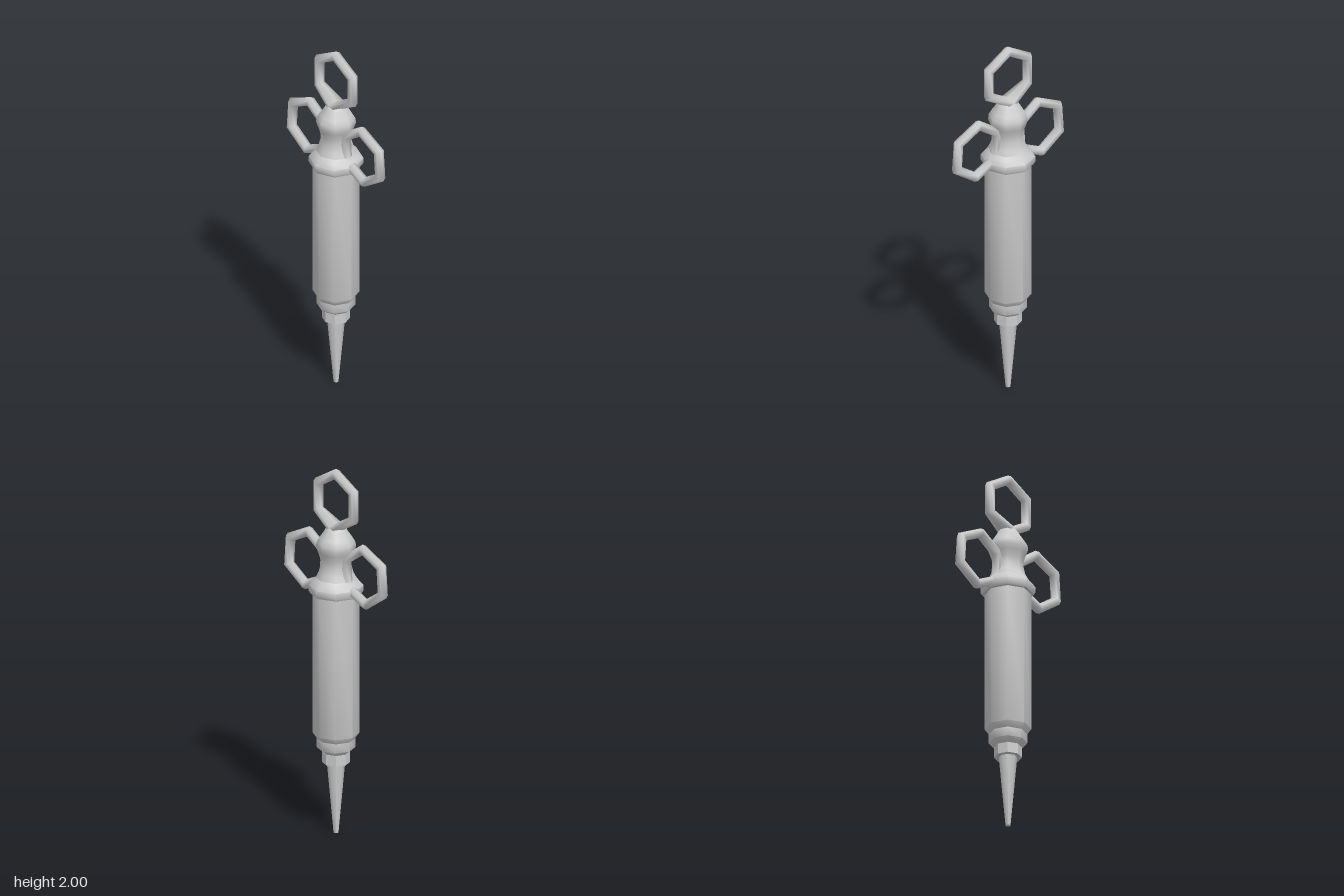
import * as THREE from 'three';
import { toCreasedNormals } from 'three/addons/utils/BufferGeometryUtils.js';

const material = new THREE.MeshStandardMaterial({ color: 0xcccccc });

export function createModel() {
  const group = new THREE.Group();

  const add = (name, geometry) => {
    const mesh = new THREE.Mesh(geometry, material);
    mesh.name = name;
    group.add(mesh);
    return mesh;
  };

  // Eight-sided turned part from [radius, height] pairs, bottom to top
  const turned = (name, profile, crease = 0.9) => {
    const points = profile.map(([r, y]) => new THREE.Vector2(r, y));
    return add(name, toCreasedNormals(new THREE.LatheGeometry(points, 8), crease));
  };

  // Hexagonal finger ring with a corner at top and bottom
  const ringGeometry = () => new THREE.TorusGeometry(0.149, 0.028, 6, 6).rotateZ(Math.PI / 2);

  turned('nozzle', [[0, 0], [0.013, 0], [0.048, 0.39]]);
  turned('nozzleNut', [[0, 0.388], [0.073, 0.388], [0.073, 0.445], [0, 0.445]], 0.5);
  turned('lowerCollar', [[0.07, 0.445], [0.1, 0.47], [0.1, 0.522], [0, 0.522]], 0.9);
  turned('barrel', [[0.1, 0.52], [0.121, 0.55], [0.121, 1.322]]);
  turned('flange', [[0.12, 1.318], [0.135, 1.318], [0.142, 1.33], [0.142, 1.362],
    [0.122, 1.385], [0.106, 1.405]]);
  turned('neck', [[0.106, 1.405], [0.09, 1.435], [0.08, 1.475], [0.082, 1.51], [0.094, 1.545],
    [0.103, 1.57], [0.102, 1.598], [0.086, 1.625], [0.062, 1.66], [0.045, 1.69], [0, 1.7]]);

  // Thumb ring, thickened front to back where it grows out of the neck
  const thumb = ringGeometry();
  const pos = thumb.attributes.position;
  for (let i = 0; i < pos.count; i++) {
    if (pos.getY(i) < -0.11) pos.setZ(i, pos.getZ(i) * 2);
  }
  add('thumbRing', thumb).position.y = 1.824;

  // Mirrored finger rings, leaning slightly toward the neck
  for (const side of [-1, 1]) {
    const ring = add(side > 0 ? 'leftFingerRing' : 'rightFingerRing', ringGeometry());
    ring.position.set(side * 0.21, 1.458, 0);
    ring.rotation.z = side * 0.075;
  }

  return group;
}
